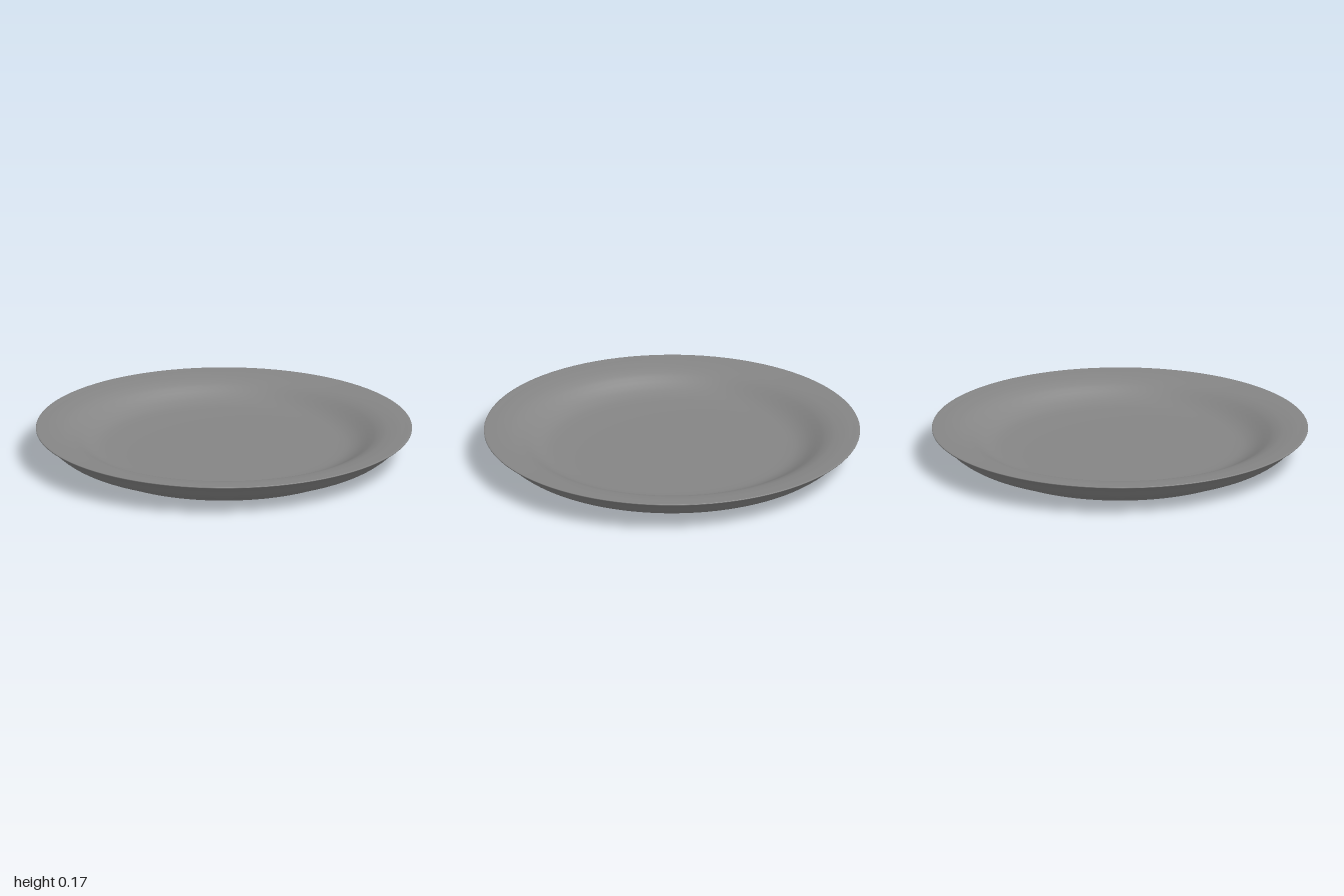
import * as THREE from 'three';

const SEGMENTS = 96;

// Revolves a smooth run through [radius, height] pairs
function revolve(name, pairs, count, material) {
  const curve = new THREE.SplineCurve(pairs.map(([r, y]) => new THREE.Vector2(r, y)));
  const mesh = new THREE.Mesh(new THREE.LatheGeometry(curve.getPoints(count), SEGMENTS), material);
  mesh.name = name;
  return mesh;
}

export function createModel() {
  const group = new THREE.Group();
  group.name = 'plate';
  const material = new THREE.MeshStandardMaterial({ color: 0x858585 });

  // Underside with a raised centre, rounded foot and flared outer wall
  const underside = revolve('underside', [
    [0, 0.027], [0.15, 0.026], [0.25, 0.021], [0.35, 0.014], [0.45, 0.011], [0.56, 0.01], [0.67, 0.009],
    [0.7, 0.004], [0.715, 0], [0.728, 0.003], [0.745, 0.016], [0.8, 0.036], [0.85, 0.053],
    [0.885, 0.07], [0.92, 0.096], [0.95, 0.125], [0.975, 0.145], [0.997, 0.16],
  ], 85, material);

  // Rounded lip, gently falling rim, soft well and flat floor
  const top = revolve('rimAndWell', [
    [0.997, 0.16], [1, 0.164], [0.995, 0.168], [0.96, 0.1665], [0.92, 0.164], [0.87, 0.157],
    [0.84, 0.1495], [0.81, 0.138], [0.78, 0.122], [0.75, 0.105], [0.72, 0.09], [0.69, 0.079],
    [0.66, 0.072], [0.62, 0.068], [0.55, 0.066], [0.3, 0.065], [0, 0.065],
  ], 80, material);

  group.add(underside, top);
  return group;
}
